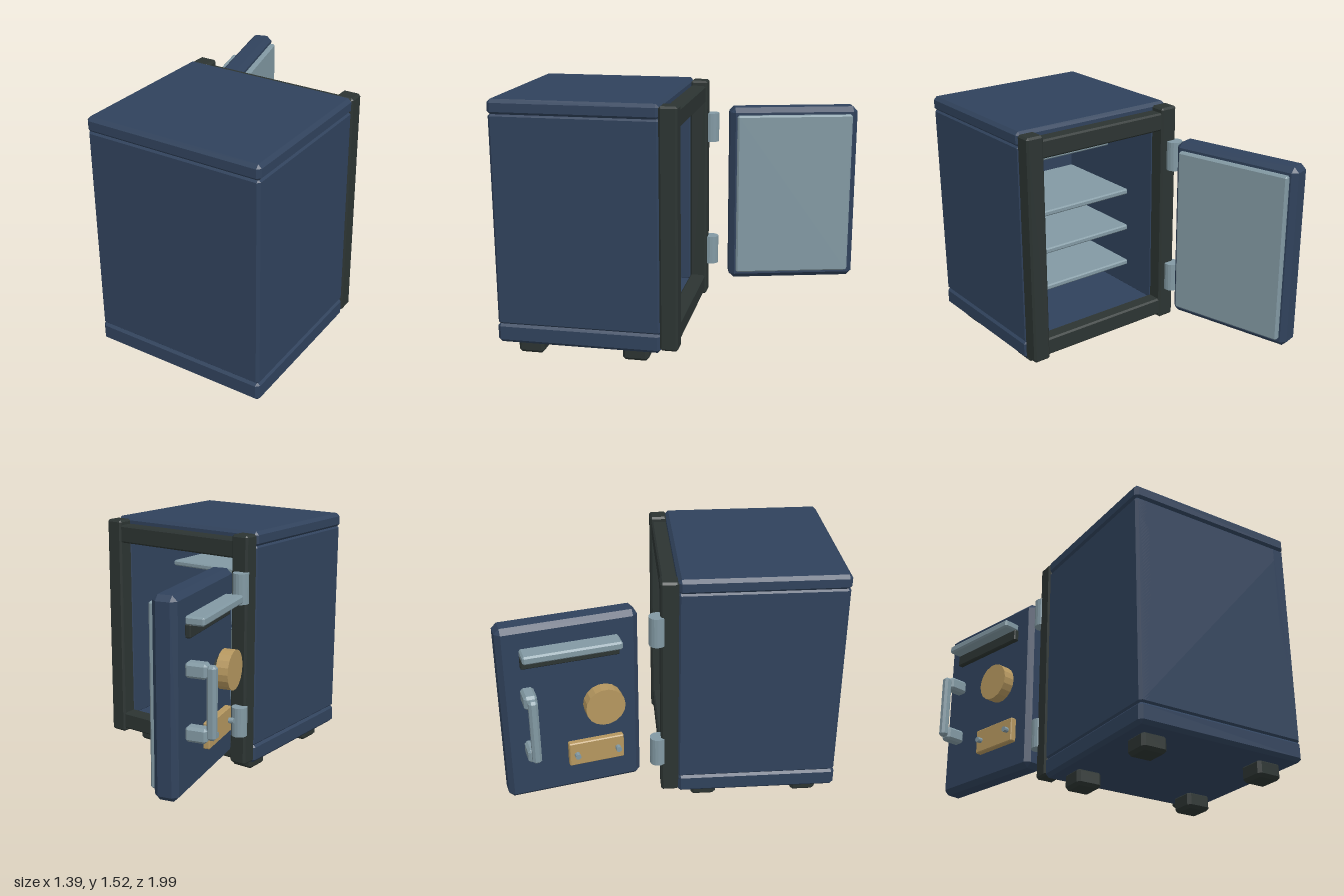
import * as THREE from 'three';
import { ConvexGeometry } from 'three/addons/geometries/ConvexGeometry.js';

const paint = (color) => new THREE.MeshStandardMaterial({ color, flatShading: true });
const navy = paint(0x30425c);
const iron = paint(0x2c3432);
const steel = paint(0x8299a3);
const brass = paint(0xb5975f);

// Box with chamfered edges, given by its min and max on each axis
function block(parent, name, mat, [x0, x1], [y0, y1], [z0, z1], c = 0.01) {
  const h = [(x1 - x0) / 2, (y1 - y0) / 2, (z1 - z0) / 2];
  const pts = [];
  for (const sx of [-1, 1]) for (const sy of [-1, 1]) for (const sz of [-1, 1])
    for (let k = 0; k < 3; k++) {
      const d = h.map((v, i) => (i === k ? v : v - c));
      pts.push(new THREE.Vector3(sx * d[0], sy * d[1], sz * d[2]));
    }
  const mesh = new THREE.Mesh(new ConvexGeometry(pts), mat);
  mesh.name = name;
  mesh.position.set((x0 + x1) / 2, (y0 + y1) / 2, (z0 + z1) / 2);
  parent.add(mesh);
  return mesh;
}

// Round part; axis 'y' stands up, axis 'x' lies along x
function round(parent, name, mat, r, len, x, y, z, axis, sides = 18) {
  const mesh = new THREE.Mesh(new THREE.CylinderGeometry(r, r, len, sides), mat);
  mesh.name = name;
  if (axis === 'x') mesh.rotation.z = Math.PI / 2;
  mesh.position.set(x, y, z);
  parent.add(mesh);
  return mesh;
}

function makeCabinet() {
  const g = new THREE.Group();
  g.name = 'cabinet';
  const L = -0.38, R = 0.69;

  // Hollow shell: base and roof slabs, side walls, closed wall at +z
  block(g, 'baseSlab', navy, [L, R], [0.09, 0.21], [0.03, 1], 0.02);
  block(g, 'roofSlab', navy, [L, R], [1.43, 1.52], [0.03, 1], 0.02);
  block(g, 'sideWall', navy, [L + 0.004, L + 0.1], [0.2, 1.44], [0.03, 0.996], 0.015);
  block(g, 'sideWall', navy, [R - 0.1, R - 0.004], [0.2, 1.44], [0.03, 0.996], 0.015);
  block(g, 'closedWall', navy, [L + 0.004, R - 0.004], [0.2, 1.44], [0.9, 0.996], 0.015);

  // Door frame
  for (const x of [L, R - 0.11])
    block(g, 'framePost', iron, [x, x + 0.11], [0.11, 1.51], [-0.07, 0.035], 0.012);
  for (const y of [0.13, 1.37])
    block(g, 'frameRail', iron, [L + 0.09, R - 0.09], [y, y + 0.11], [-0.06, 0.035]);

  // Shelves; the uppermost is shallower
  [0.36, 0.61, 0.86, 1.14].forEach((y, i) =>
    block(g, 'shelf', steel, [L + 0.09, R - 0.09], [y, y + 0.035], [i === 3 ? 0.48 : 0.28, 0.92], 0.008));

  // Feet
  for (const x of [-0.3, 0.455]) for (const z of [0.12, 0.75])
    block(g, 'foot', iron, [x, x + 0.155], [0, 0.1], [z, z + 0.155], 0.018);

  // Hinge barrels
  for (const y of [0.4, 1.21]) round(g, 'hinge', steel, 0.048, 0.18, -0.353, y, -0.088, 'y', 16);
  return g;
}

// Local axes: +x is the inner face, -z the free edge
function makeDoor() {
  const g = new THREE.Group();
  g.name = 'door';
  block(g, 'doorSlab', navy, [-0.07, 0.07], [0.24, 1.35], [-0.4, 0.4], 0.03);
  block(g, 'innerPlate', steel, [0.06, 0.1], [0.288, 1.305], [-0.36, 0.36]);

  // Ledge with the dark strip under it
  block(g, 'ledge', steel, [-0.176, -0.065], [1.178, 1.227], [-0.28, 0.28]);
  block(g, 'ledgeSupport', iron, [-0.1, -0.065], [1.11, 1.185], [-0.28, 0.28], 0.006);

  // Dial on its spindle
  round(g, 'dialSpindle', iron, 0.07, 0.04, -0.085, 0.825, 0.17, 'x');
  round(g, 'dial', brass, 0.115, 0.072, -0.136, 0.825, 0.17, 'x');

  // Pull handle
  for (const y of [0.55, 0.9])
    block(g, 'handleMount', steel, [-0.19, -0.065], [y, y + 0.085], [-0.291, -0.216], 0.015);
  block(g, 'handleBar', steel, [-0.232, -0.18], [0.567, 0.973], [-0.274, -0.222], 0.014);

  // Lock plate with two knobs
  block(g, 'lockPlate', brass, [-0.107, -0.065], [0.42, 0.572], [-0.04, 0.288], 0.006);
  for (const z of [0.005, 0.25]) round(g, 'lockKnob', steel, 0.017, 0.035, -0.12, 0.495, z, 'x', 10);

  // Swung open
  g.position.set(-0.407, 0, -0.597);
  g.rotation.y = 0.2517;
  return g;
}

export function createModel() {
  const model = new THREE.Group();
  model.name = 'safe';
  model.add(makeCabinet(), makeDoor());
  return model;
}
